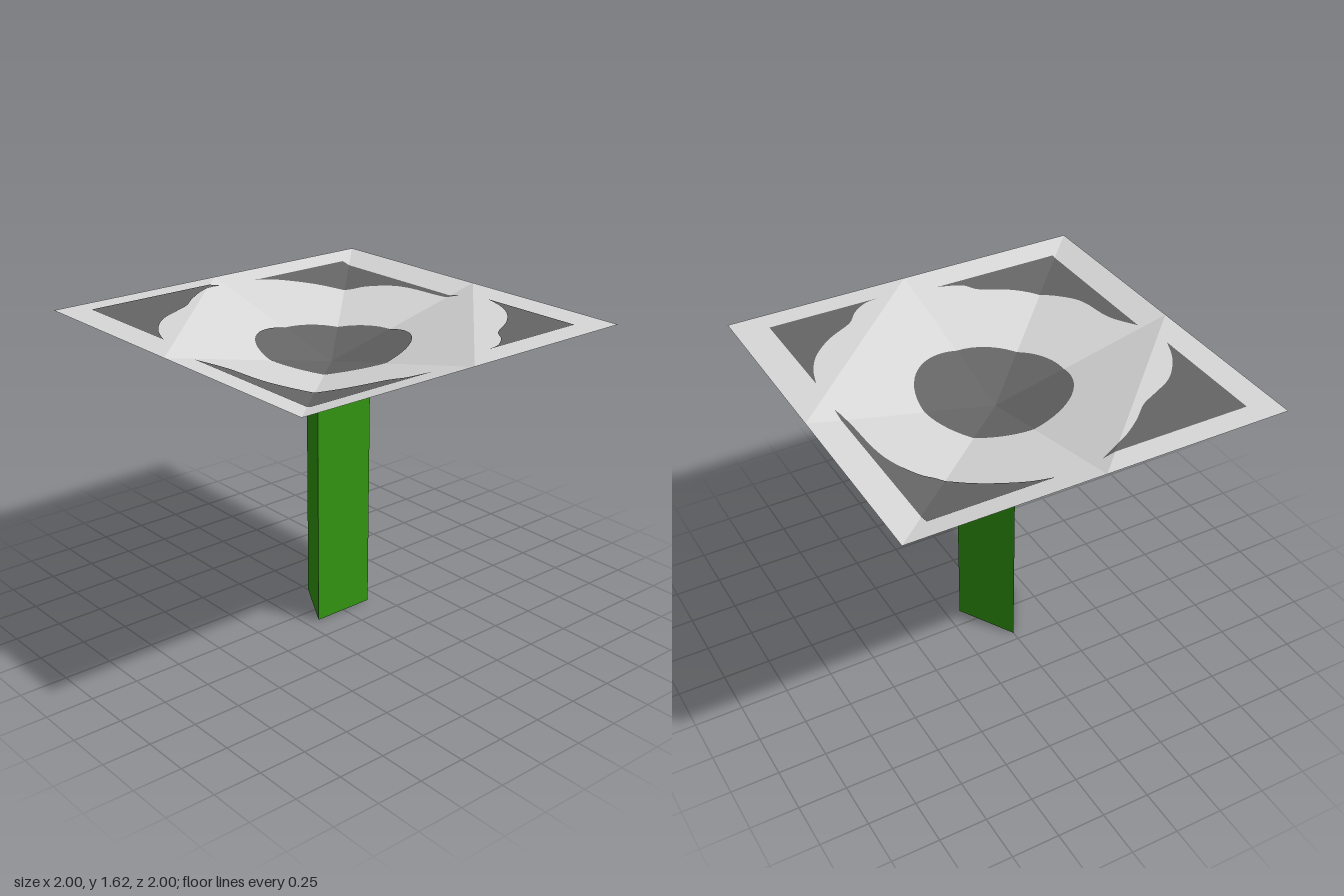
import * as THREE from 'three';
import { mergeGeometries } from 'three/addons/utils/BufferGeometryUtils.js';

const LOW = 1.38, RISE = 0.233;

// Canopy height: a 2 x 2 folded sheet whose centre is pulled down
function height(x, z) {
  const a = Math.abs(x), b = Math.abs(z);
  return LOW + RISE * (x * z > 0 ? Math.min(1, a + b) : Math.max(a, b));
}

// The eight flat facets of the sheet, as [x, z] triangles
const facets = [];
for (const s of [1, -1]) {
  facets.push([[0, 0], [s, 0], [0, s]], [[s, s], [0, s], [s, 0]]);
  facets.push([[0, 0], [s, 0], [s, -s]], [[0, 0], [0, -s], [s, -s]]);
}

// Cut an [x, z] outline to one triangle
function clip(outline, tri) {
  let poly = outline;
  for (let i = 0; i < 3; i++) {
    const [p, q, r] = [tri[i], tri[(i + 1) % 3], tri[(i + 2) % 3]];
    const side = (v) => (q[0] - p[0]) * (v[1] - p[1]) - (q[1] - p[1]) * (v[0] - p[0]);
    const sign = Math.sign(side(r));
    const out = [];
    poly.forEach((v, k) => {
      const w = poly[(k + 1) % poly.length];
      const dv = side(v) * sign, dw = side(w) * sign;
      if (dv >= 0) out.push(v);
      if (dv * dw < 0) {
        const t = dv / (dv - dw);
        out.push([v[0] + (w[0] - v[0]) * t, v[1] + (w[1] - v[1]) * t]);
      }
    });
    poly = out;
  }
  return poly;
}

// Lay an [x, z] outline onto the folded sheet, split along its folds
function drape(outline, lift = 0) {
  const pieces = [];
  for (const tri of facets) {
    const poly = clip(outline, tri);
    if (poly.length < 3) continue;
    const points = poly.map(([x, z]) => new THREE.Vector2(x, -z));
    if (Math.abs(THREE.ShapeUtils.area(points)) < 1e-6) continue;
    const g = new THREE.ShapeGeometry(new THREE.Shape(points));
    const pos = g.attributes.position;
    for (let i = 0; i < pos.count; i++) {
      const x = pos.getX(i), z = -pos.getY(i);
      pos.setXYZ(i, x, height(x, z) + lift, z);
    }
    g.computeVertexNormals();
    pieces.push(g);
  }
  return mergeGeometries(pieces);
}

// Corner patch: a square corner closed by a wavy inner edge
function patch(corner, edge) {
  const curve = new THREE.SplineCurve(edge.map(([x, z]) => new THREE.Vector2(x, z)));
  return [corner, ...curve.getPoints(40).map((p) => [p.x, p.y])];
}

export function createModel() {
  const lightGrey = new THREE.MeshStandardMaterial({ color: 0xd8d8d8, side: THREE.DoubleSide });
  lightGrey.name = 'light grey';
  const darkGrey = new THREE.MeshStandardMaterial({ color: 0x656565, side: THREE.DoubleSide });
  darkGrey.name = 'dark grey';
  const green = new THREE.MeshStandardMaterial({ color: 0x329710, flatShading: true });
  green.name = 'green';

  const model = new THREE.Group();
  const add = (name, geometry, material) => {
    const mesh = new THREE.Mesh(geometry, material);
    mesh.name = name;
    model.add(mesh);
    return mesh;
  };

  // Three-sided stem, flat side to the front
  const stem = add('stem', new THREE.CylinderGeometry(0.2, 0.2, LOW, 3), green);
  stem.rotation.y = Math.PI;
  stem.position.y = LOW / 2;

  // Folded square canopy
  add('canopy', drape([[-1, -1], [1, -1], [1, 1], [-1, 1]]), lightGrey);

  // Dark markings, shown on both faces of the canopy
  const disc = [];
  for (let i = 0; i < 64; i++) {
    const a = (i / 64) * Math.PI * 2;
    disc.push([0.393 * Math.cos(a), 0.016 + 0.393 * Math.sin(a)]);
  }
  const markings = {
    centreDisc: disc,
    backRightPatch: patch([-0.85, -0.88], [[-0.05, -0.88], [-0.21, -0.81], [-0.34, -0.72],
      [-0.44, -0.63], [-0.535, -0.58], [-0.65, -0.52], [-0.73, -0.445], [-0.8, -0.345], [-0.85, -0.23]]),
    backLeftPatch: patch([0.825, -0.88], [[0.19, -0.88], [0.3, -0.84], [0.42, -0.76], [0.51, -0.68],
      [0.605, -0.57], [0.68, -0.51], [0.755, -0.385], [0.785, -0.25], [0.797, -0.02], [0.825, 0.07]]),
    frontRightPatch: patch([-0.85, 0.87], [[-0.85, 0.025], [-0.78, 0.19], [-0.755, 0.38], [-0.715, 0.485],
      [-0.625, 0.61], [-0.5, 0.705], [-0.33, 0.775], [-0.26, 0.835], [-0.13, 0.87]]),
    frontLeftPatch: patch([0.825, 0.87], [[0.825, 0.28], [0.785, 0.405], [0.715, 0.52], [0.6, 0.625],
      [0.455, 0.71], [0.385, 0.795], [0.3, 0.855], [0.215, 0.87]]),
  };
  for (const [name, outline] of Object.entries(markings)) {
    add(name + 'Top', drape(outline, 0.003), darkGrey);
    add(name + 'Underside', drape(outline, -0.003), darkGrey);
  }
  return model;
}
